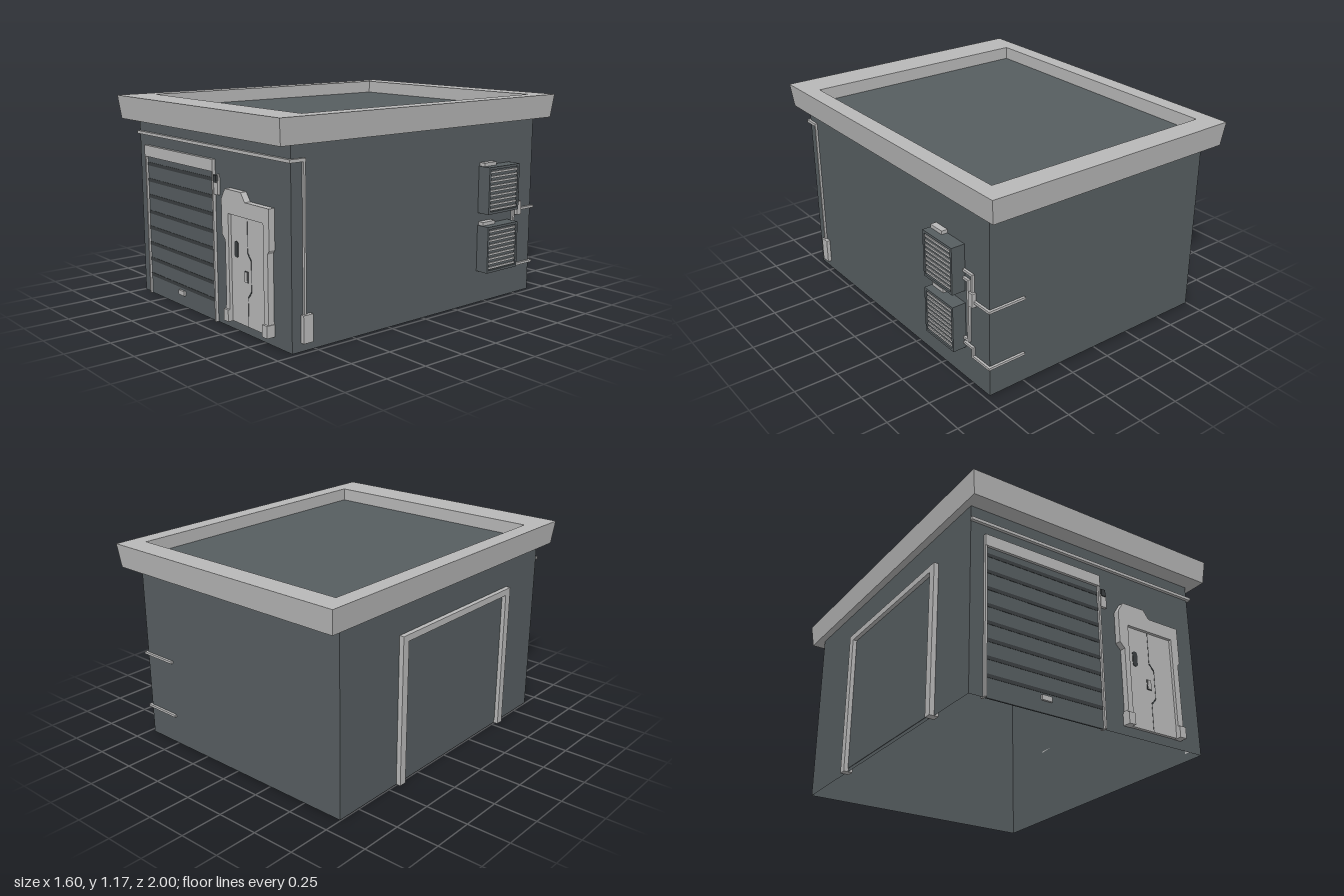
import * as THREE from 'three';

const mat = (name, color) => {
  const m = new THREE.MeshStandardMaterial({ color });
  m.name = name;
  return m;
};

export function createModel() {
  const light = mat('lightGrey', 0xb8b8b8);
  const dark = mat('slateGrey', 0x565d60);
  const groove = mat('grooveGrey', 0x3a3e40);
  const wallMat = mat('wallSlate', 0x565d60);
  wallMat.side = THREE.DoubleSide;

  const root = new THREE.Group();
  root.name = 'garage';
  const group = (name) => {
    const g = new THREE.Group();
    g.name = name;
    root.add(g);
    return g;
  };
  const add = (parent, name, geo, material) => {
    const m = new THREE.Mesh(geo, material);
    m.name = name;
    parent.add(m);
    return m;
  };
  // box given by its minimum and maximum on each axis
  const box = (parent, name, material, x0, x1, y0, y1, z0, z1) => {
    const m = add(parent, name, new THREE.BoxGeometry(x1 - x0, y1 - y0, z1 - z0), material);
    m.position.set((x0 + x1) / 2, (y0 + y1) / 2, (z0 + z1) / 2);
    return m;
  };
  // square pipe made of straight runs between points
  const pipe = (parent, name, pts, r = 0.007) => {
    for (let i = 0; i < pts.length - 1; i++) {
      const [a, b] = [pts[i], pts[i + 1]];
      const lo = a.map((v, k) => Math.min(v, b[k]) - r);
      const hi = a.map((v, k) => Math.max(v, b[k]) + r);
      box(parent, name, light, lo[0], hi[0], lo[1], hi[1], lo[2], hi[2]);
    }
  };
  const extrude = (pts, depth, holes = []) => {
    const s = new THREE.Shape(pts.map(([x, y]) => new THREE.Vector2(x, y)));
    s.holes.push(...holes);
    return new THREE.ExtrudeGeometry(s, { depth, bevelEnabled: false, curveSegments: 6 });
  };
  // skin between rectangular rings [x0, x1, z0, z1, y], each ring counter-clockwise from above
  const ringSkin = (rings) => {
    const pos = [];
    const corners = rings.map(([x0, x1, z0, z1, y]) => [[x0, y, z1], [x1, y, z1], [x1, y, z0], [x0, y, z0]]);
    for (let r = 0; r < rings.length - 1; r++) {
      for (let i = 0; i < 4; i++) {
        const j = (i + 1) % 4;
        const a = corners[r][i], b = corners[r][j], c = corners[r + 1][j], d = corners[r + 1][i];
        pos.push(...a, ...b, ...c, ...a, ...c, ...d);
      }
    }
    const g = new THREE.BufferGeometry();
    g.setAttribute('position', new THREE.Float32BufferAttribute(pos, 3));
    g.computeVertexNormals();
    return g;
  };

  // Walls, open below
  const X0 = -0.745, X1 = 0.72, Z = 0.89;
  add(root, 'walls', ringSkin([[X0, X1, -Z, Z, 0], [X0, X1, -Z, Z, 1.04]]), wallMat);

  // Roof: flared fascia, rim, sunken deck and soffit
  const roof = group('roof');
  add(roof, 'fascia', ringSkin([
    [-0.785, 0.77, -0.985, 0.985, 1.04],
    [-0.8, 0.785, -1, 1, 1.175],
    [-0.705, 0.69, -0.87, 0.8, 1.175],
    [-0.705, 0.69, -0.87, 0.8, 1.1],
  ]), light);
  const deck = add(roof, 'roofDeck', new THREE.PlaneGeometry(1.395, 1.67), dark);
  deck.rotation.x = -Math.PI / 2;
  deck.position.set(-0.0075, 1.1, -0.035);
  const soffit = add(roof, 'soffit', new THREE.PlaneGeometry(1.555, 1.97), light);
  soffit.rotation.x = Math.PI / 2;
  soffit.position.set(-0.0075, 1.04, 0);

  // Roller door with grooves, frame and handle
  const roller = group('rollerDoor');
  box(roller, 'rollerPanel', dark, -0.655, 0.05, 0, 0.83, Z - 0.005, Z + 0.004);
  for (let i = 0; i < 8; i++) {
    const y = 0.115 + i * 0.095;
    box(roller, 'rollerGroove', groove, -0.655, 0.05, y - 0.01, y + 0.01, Z, Z + 0.006);
  }
  box(roller, 'rollerFrameLeft', light, 0.048, 0.06, 0, 0.89, 0.87, 0.907);
  box(roller, 'rollerFrameRight', light, -0.667, -0.655, 0, 0.89, 0.87, 0.907);
  box(roller, 'rollerHeader', light, -0.667, 0.06, 0.825, 0.89, 0.87, 0.909);
  box(roller, 'rollerHandle', light, -0.335, -0.275, 0.065, 0.092, 0.875, 0.905);

  // Control box beside the roller door
  const control = group('controlBox');
  box(control, 'controlBody', light, 0.065, 0.102, 0.705, 0.78, Z, 0.905);
  box(control, 'controlBack', light, 0.088, 0.102, 0.78, 0.815, Z, 0.9);
  box(control, 'controlScreen', groove, 0.068, 0.094, 0.77, 0.81, Z, 0.91);

  // Entrance door: surround, leaf and fittings
  const entry = group('entranceDoor');
  const surround = add(entry, 'doorSurround', extrude([
    [0.19, 0.05], [0.227, 0.05], [0.227, 0.63], [0.535, 0.63], [0.535, 0.05], [0.572, 0.05],
    [0.572, 0.48], [0.585, 0.5], [0.585, 0.71], [0.38, 0.71], [0.345, 0.757], [0.2, 0.757],
    [0.165, 0.7], [0.165, 0.515], [0.195, 0.483], [0.195, 0.13], [0.19, 0.13],
  ], 0.06), light);
  surround.position.z = 0.865;
  box(entry, 'doorLeaf', light, 0.227, 0.535, 0.052, 0.63, Z, 0.908);
  for (const [x0, x1] of [[0.186, 0.228], [0.534, 0.576]]) {
    box(entry, 'surroundFoot', light, x0, x1, 0.05, 0.115, 0.865, 0.938);
  }
  // stepped seam in the leaf
  const seam = [[0.375, 0.63, 0.002], [0.375, 0.445, 0.008], [0.405, 0.41, 0.002],
    [0.405, 0.245, 0.008], [0.375, 0.21, 0.002], [0.375, 0.052, 0]];
  for (let i = 0; i < seam.length - 1; i++) {
    const [ax, ay, w] = seam[i], [bx, by] = seam[i + 1];
    const m = add(entry, 'doorSeam', new THREE.BoxGeometry(w, Math.hypot(bx - ax, by - ay), 0.002), groove);
    m.position.set((ax + bx) / 2, (ay + by) / 2, 0.9085);
    m.rotation.z = Math.atan2(ax - bx, by - ay) + Math.PI;
  }
  const pane = add(entry, 'doorWindow', extrude([
    [0.267, 0.405], [0.285, 0.405], [0.292, 0.413], [0.292, 0.482],
    [0.285, 0.49], [0.267, 0.49], [0.26, 0.482], [0.26, 0.413],
  ], 0.004), groove);
  pane.position.z = 0.907;
  box(entry, 'keypadEdge', groove, 0.349, 0.378, 0.288, 0.347, 0.907, 0.911);
  box(entry, 'keypad', light, 0.352, 0.375, 0.291, 0.344, 0.907, 0.914);

  // Frame on the right-hand side wall
  const side = group('sideFrame');
  for (const z of [-0.43, 0.53]) box(side, 'sideFramePost', light, -0.772, -0.72, 0, 0.862, z, z + 0.045);
  box(side, 'sideFrameBeam', light, -0.772, -0.72, 0.825, 0.862, -0.43, 0.575);
  box(side, 'sideDoorPanel', dark, X0 - 0.003, X0 + 0.003, 0.02, 0.825, -0.385, 0.53);

  // Gutter and downpipe
  const gutter = group('gutter');
  box(gutter, 'frontGutter', light, X0 - 0.003, 0.735, 0.95, 0.967, Z, 0.907);
  box(gutter, 'sideGutter', light, X1, 0.735, 0.95, 0.967, 0.81, 0.907);
  box(gutter, 'downpipe', light, X1, 0.733, 0.04, 0.96, 0.81, 0.822);
  box(gutter, 'downpipeBox', light, X1, 0.742, 0.045, 0.19, 0.775, 0.835);

  // Two ventilation units on the left-hand side wall
  for (const y of [0.19, 0.53]) {
    const unit = group('ventilationUnit');
    const [z0, z1, top] = [-0.687, -0.432, y + 0.268];
    box(unit, 'unitBody', dark, X1, 0.79, y, top, z0, z1);
    box(unit, 'unitRimTop', dark, 0.788, 0.8, top - 0.014, top, z0, z1);
    box(unit, 'unitRimBottom', dark, 0.788, 0.8, y, y + 0.014, z0, z1);
    for (const z of [z0, z1 - 0.014]) box(unit, 'unitRimSide', dark, 0.788, 0.8, y, top, z, z + 0.014);
    for (let i = 0; i < 9; i++) {
      const s = y + 0.02 + i * 0.0265;
      box(unit, 'unitSlat', light, 0.788, 0.796, s, s + 0.012, -0.672, -0.447);
    }
    box(unit, 'unitBracket', light, X1, 0.755, top, top + 0.02, -0.54, -0.44);
  }

  // Pipework running round to the back wall
  const pipes = group('pipework');
  const px = X1 + 0.008, back = -0.898;
  pipe(pipes, 'upperPipe', [[px, 0.655, -0.68], [px, 0.655, -0.76], [px, 0.51, -0.76], [px, 0.51, back], [0.51, 0.51, back]]);
  pipe(pipes, 'linkPipe', [[px, 0.61, -0.68], [px, 0.61, -0.727], [px, 0.255, -0.727], [px, 0.255, -0.68]]);
  pipe(pipes, 'lowerPipe', [[px, 0.225, -0.68], [px, 0.225, -0.76], [px, 0.175, -0.76], [px, 0.175, back], [0.51, 0.175, back]]);
  box(pipes, 'pipeBox', light, X1, 0.745, 0.48, 0.56, -0.78, -0.745);

  return root;
}
